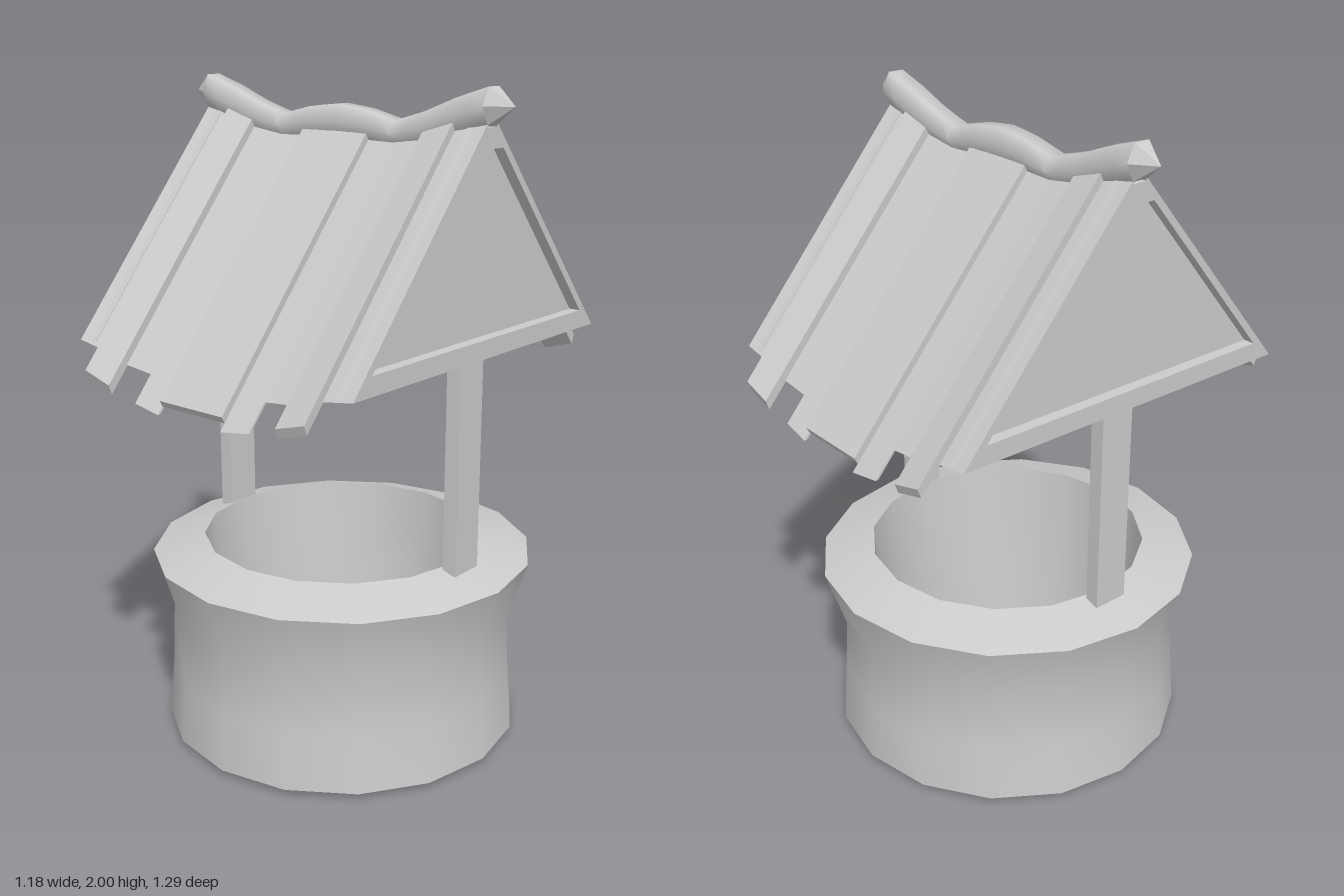
import * as THREE from 'three';
import { toCreasedNormals } from 'three/addons/utils/BufferGeometryUtils.js';

const material = new THREE.MeshStandardMaterial({ color: 0xcccccc, side: THREE.DoubleSide });
const flatMaterial = new THREE.MeshStandardMaterial({ color: 0xcccccc, flatShading: true, side: THREE.DoubleSide });

// Height curves along x, as [distance from centre, value]
const ROOF_SAG = [[0, -0.06], [0.12, -0.06], [0.22, -0.053], [0.32, -0.043], [0.42, -0.015], [0.52, 0]];
const RIDGE_HEIGHT = [[0, 1.882], [0.1, 1.877], [0.21, 1.858], [0.32, 1.883], [0.42, 1.917], [0.52, 1.948]];
const SLOPE = 1.165;

function interpolate(table, x) {
  const d = Math.min(Math.abs(x), 0.52);
  const i = Math.max(1, table.findIndex(([t]) => t >= d - 1e-6));
  const [x0, y0] = table[i - 1], [x1, y1] = table[i];
  return y0 + (y1 - y0) * (d - x0) / (x1 - x0);
}

function addMesh(parent, name, geometry, mat = flatMaterial) {
  const mesh = new THREE.Mesh(geometry, mat);
  mesh.name = name;
  parent.add(mesh);
  return mesh;
}

function moveVertices(geometry, rule) {
  const p = geometry.attributes.position;
  const v = new THREE.Vector3();
  for (let i = 0; i < p.count; i++) {
    rule(v.fromBufferAttribute(p, i));
    p.setXYZ(i, v.x, v.y, v.z);
  }
  geometry.computeVertexNormals();
  return geometry;
}

// A sloping board from the ridge to the eave that follows the sag of the roof
function boardGeometry(x0, x1, end0, end1, raise, thickness) {
  return moveVertices(new THREE.BoxGeometry(1, 1, 1), v => {
    const t = v.x + 0.5;
    const x = x0 + (x1 - x0) * t;
    const top = v.y > 0;
    const z = v.z < 0 ? 0.015 : end0 + (end1 - end0) * t - (top ? 0 : 0.01);
    const y = 1.93 + interpolate(ROOF_SAG, x) - SLOPE * z + raise - (top ? 0 : thickness);
    v.set(x, y, z);
  });
}

function outline(Type, points) {
  const path = new Type();
  path.setFromPoints(points.map(([z, y]) => new THREE.Vector2(z, y)));
  path.closePath();
  return path;
}

function extrudeAlongX(shape, x, depth) {
  return new THREE.ExtrudeGeometry(shape, { depth, bevelEnabled: false })
    .rotateY(Math.PI / 2).translate(x, 0, 0);
}

export function createModel() {
  const model = new THREE.Group();
  model.name = 'well';

  // Round stone wall, open through the middle
  const profile = [[0.385, 0], [0.555, 0.02], [0.54, 0.2], [0.532, 0.39], [0.59, 0.575], [0.43, 0.625], [0.385, 0]];
  const wall = new THREE.LatheGeometry(profile.map(([r, y]) => new THREE.Vector2(r, y)), 16);
  addMesh(model, 'stoneWall', toCreasedNormals(wall, 0.7), material);

  // One half of the roof, repeated on the other side
  const frontRoof = new THREE.Group();
  frontRoof.name = 'frontRoof';
  addMesh(frontRoof, 'centreBoard', boardGeometry(-0.12, 0.12, 0.635, 0.635, 0.03, 0.03));
  for (const s of [-1, 1]) {
    const board = (name, a, b, endA, endB, raise, thickness) => addMesh(frontRoof, name,
      s > 0 ? boardGeometry(a, b, endA, endB, raise, thickness)
        : boardGeometry(-b, -a, endB, endA, raise, thickness));
    board('longThinBoard', 0.12, 0.22, 0.643, 0.637, 0, 0.01);
    board('shortBoard', 0.22, 0.32, 0.575, 0.575, 0, 0.01);
    board('raisedBoard', 0.32, 0.42, 0.645, 0.645, 0.035, 0.04);
    board('endBoard', 0.42, 0.52, 0.575, 0.575, 0, 0.01);
  }
  const backRoof = frontRoof.clone();
  backRoof.name = 'backRoof';
  backRoof.rotation.y = Math.PI;
  model.add(frontRoof, backRoof);

  // Post and framed gable at one end, repeated at the other
  const leftEnd = new THREE.Group();
  leftEnd.name = 'leftEnd';
  addMesh(leftEnd, 'post', new THREE.BoxGeometry(0.046, 1.18, 0.11).translate(0.453, 1.2, 0));
  const inner = [[-0.5, 1.315], [0.5, 1.315], [0.055, 1.835], [-0.055, 1.835]];
  const frame = outline(THREE.Shape, [[-0.57, 1.26], [0.57, 1.26], [0.028, 1.892], [-0.028, 1.892]]);
  frame.holes.push(outline(THREE.Path, inner));
  addMesh(leftEnd, 'gableFrame', extrudeAlongX(frame, 0.46, 0.06));
  addMesh(leftEnd, 'gablePanel', extrudeAlongX(outline(THREE.Shape, inner), 0.477, 0.008));
  const rightEnd = leftEnd.clone();
  rightEnd.name = 'rightEnd';
  rightEnd.rotation.y = Math.PI;
  model.add(leftEnd, rightEnd);

  // Wavy six-sided ridge beam with pointed ends
  const beam = new THREE.CylinderGeometry(0.05, 0.05, 1.04, 6, 20, true).rotateZ(-Math.PI / 2);
  moveVertices(beam, v => {
    const thin = 0.85 + 0.3 * Math.min(1, Math.abs(Math.abs(v.x) - 0.21) / 0.2);
    v.y = v.y * thin + interpolate(RIDGE_HEIGHT, v.x);
  });
  addMesh(model, 'ridgeBeam', toCreasedNormals(beam, 1.2), material);
  for (const s of [-1, 1]) {
    const tip = new THREE.ConeGeometry(0.05, 0.07, 6).rotateZ(-s * Math.PI / 2).scale(1, 1.15, 1);
    addMesh(model, 'ridgeTip', tip.translate(s * 0.555, 1.948, 0));
  }
  return model;
}
